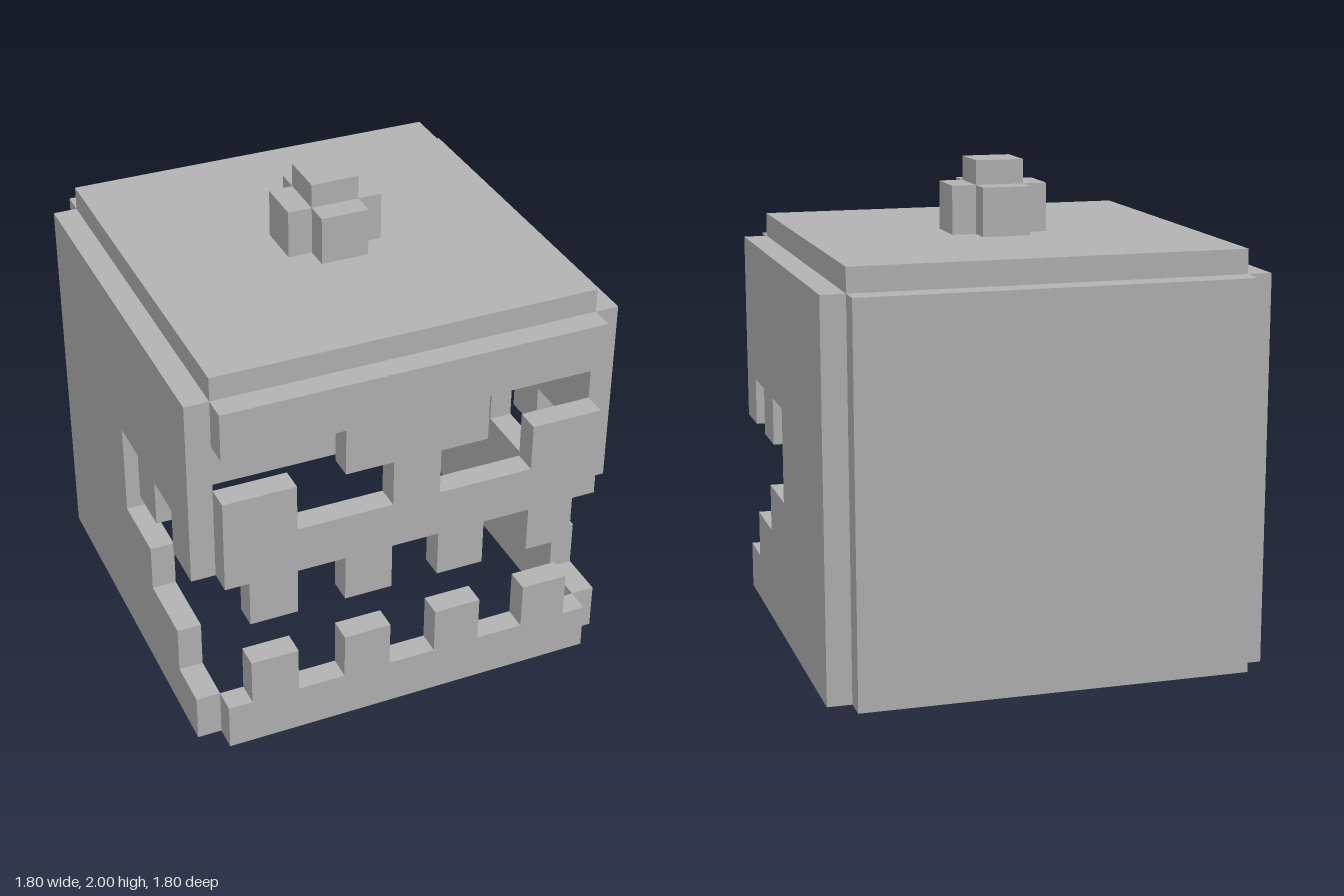
import * as THREE from 'three';

const T = 0.1; // wall thickness

export function createModel() {
  const model = new THREE.Group();
  model.name = 'carvedPumpkin';
  const shell = new THREE.MeshStandardMaterial({ color: 0xb3b3b3 });
  shell.name = 'plain grey';

  const add = (name, geometry, x, y, z, parent = model) => {
    const mesh = new THREE.Mesh(geometry, shell);
    mesh.name = name;
    mesh.position.set(x, y, z);
    parent.add(mesh);
    return mesh;
  };
  const plate = (points) => new THREE.ExtrudeGeometry(
    new THREE.Shape(points.map(([x, y]) => new THREE.Vector2(x, y))),
    { depth: T, bevelEnabled: false });
  const mirrored = (half) => [...half, ...half.map(([x, y]) => [-x, y]).reverse()];

  // Row of teeth along the mouth, left to right
  const teeth = (base, tip) => [-0.6, -0.2, 0.2, 0.6].flatMap((c) => [
    [c - 0.1, base], [c - 0.1, tip], [c + 0.1, tip], [c + 0.1, base]]);

  // Front wall: upper face with slanted eyes cut in from both edges
  const eyeSide = [[0.8, 0.8], [0.8, 1.2], [0.5, 1.2], [0.5, 1], [0.1, 1],
    [0.1, 1.2], [0.3, 1.2], [0.3, 1.4], [0.8, 1.4], [0.8, 1.6]];
  const face = new THREE.Group();
  face.name = 'face';
  model.add(face);
  add('upperFace', plate([[-0.8, 0.8], ...teeth(0.8, 0.6), ...mirrored(eyeSide).slice(0, -1)]),
    0, 0, 0.8, face);
  add('lowerJaw', plate([[0.8, 0], [0.8, 0.2], ...teeth(0.2, 0.4).reverse(), [-0.8, 0.2], [-0.8, 0]]),
    0, 0, 0.8, face);

  // Side walls: the mouth wraps round from the front edge (points are z, y)
  const sideOutline = [[-0.8, 0], [0.8, 0], [0.8, 0.2], [0.6, 0.2], [0.6, 0.4], [0.3, 0.4],
    [0.3, 0.6], [0, 0.6], [0, 1], [0.2, 1], [0.2, 0.8], [0.4, 0.8], [0.4, 1], [0.6, 1],
    [0.6, 0.8], [0.8, 0.8], [0.8, 1.6], [-0.8, 1.6]];
  add('leftWall', plate(sideOutline), 0.9, 0, 0).rotation.y = -Math.PI / 2;
  add('rightWall', plate(sideOutline), -0.8, 0, 0).rotation.y = -Math.PI / 2;

  // Back wall and lid; the bottom stays open
  add('backWall', new THREE.BoxGeometry(1.6, 1.6, T), 0, 0.8, -0.85);
  add('lid', new THREE.BoxGeometry(1.6, T, 1.6), 0, 1.65, 0);

  // Stem: tall core with four shorter blocks around it
  const stem = new THREE.Group();
  stem.name = 'stem';
  model.add(stem);
  add('stemCore', new THREE.BoxGeometry(0.2, 0.3, 0.2), 0, 1.85, 0, stem);
  for (const s of [-1, 1]) {
    add('stemSideBlock', new THREE.BoxGeometry(0.1, 0.2, 0.2), s * 0.15, 1.8, 0, stem);
    add('stemEndBlock', new THREE.BoxGeometry(0.2, 0.2, 0.1), 0, 1.8, s * 0.15, stem);
  }
  return model;
}
